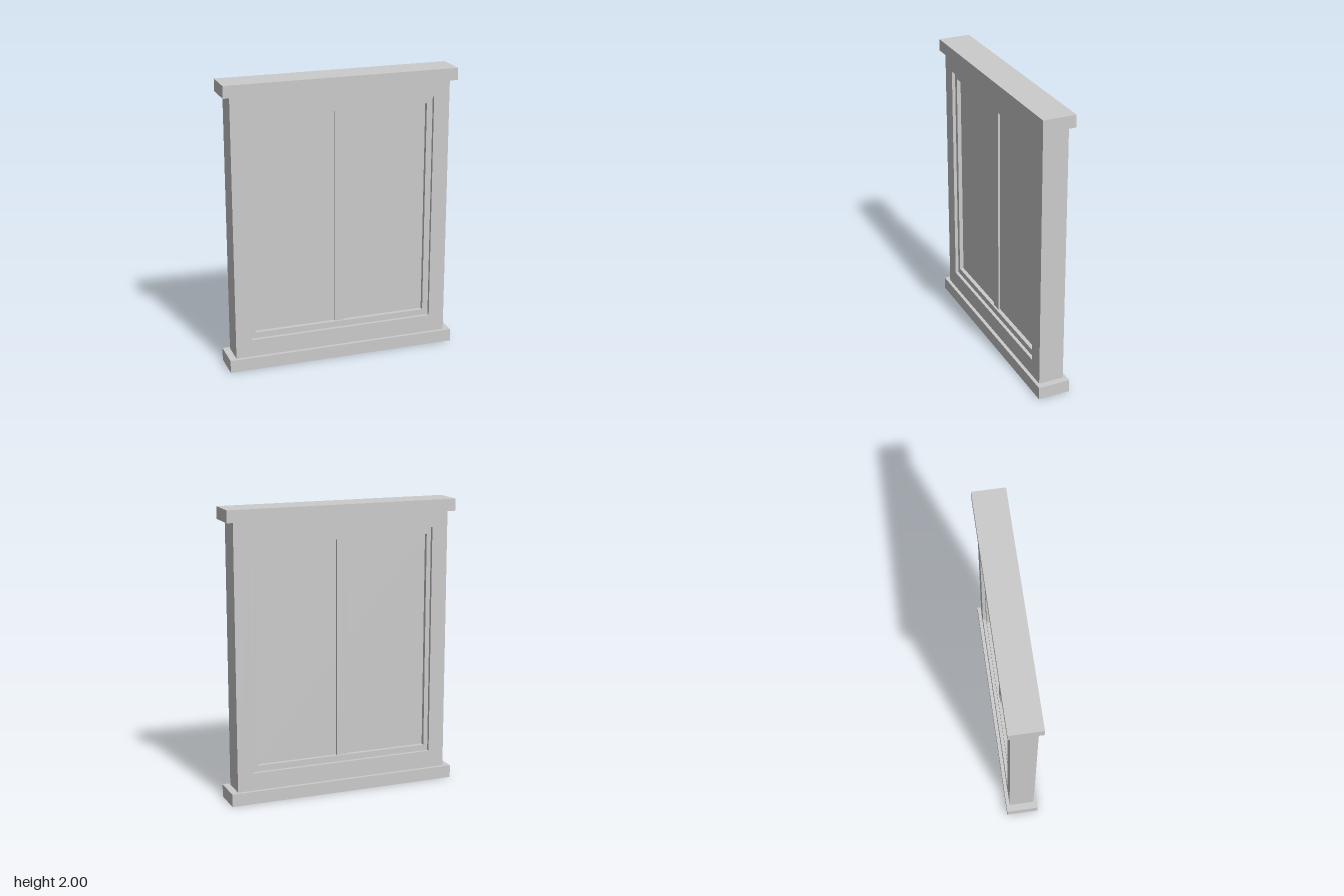
import * as THREE from 'three';

const material = new THREE.MeshStandardMaterial({ color: 0xcccccc, flatShading: true });

export function createModel() {
  const group = new THREE.Group();
  group.name = 'window';

  const add = (name, geometry) => {
    const mesh = new THREE.Mesh(geometry, material);
    mesh.name = name;
    group.add(mesh);
  };

  // box from its x and y limits, centred on z = 0
  const slab = (name, x0, x1, y0, y1, depth) => {
    const g = new THREE.BoxGeometry(x1 - x0, y1 - y0, depth);
    add(name, g.translate((x0 + x1) / 2, (y0 + y1) / 2, 0));
  };

  // rectangular ring; outer and inner are [x0, x1, y0, y1]
  const trace = (path, [x0, x1, y0, y1]) =>
    path.moveTo(x0, y0).lineTo(x1, y0).lineTo(x1, y1).lineTo(x0, y1).closePath();
  const ring = (name, outer, inner, depth) => {
    const shape = new THREE.Shape();
    const hole = new THREE.Path();
    trace(shape, outer);
    trace(hole, inner);
    shape.holes.push(hole);
    const g = new THREE.ExtrudeGeometry(shape, { depth, bevelEnabled: false });
    add(name, g.translate(0, 0, -depth / 2));
  };

  const opening = [-0.653, 0.653, 0.21, 1.81];
  const light = [-0.622, 0.611, 0.253, 1.763];

  // projecting sill and lintel
  slab('sill', -0.813, 0.813, 0, 0.088, 0.224);
  slab('lintel', -0.813, 0.813, 1.917, 2, 0.224);

  // outer frame, recessed sash, centre bar and pane, each set further back
  ring('frame', [-0.765, 0.765, 0.088, 1.917], opening, 0.176);
  ring('sash', opening, light, 0.13);
  slab('mullion', -0.04, 0.034, light[2], light[3], 0.102);
  slab('pane', ...light, 0.074);

  return group;
}
